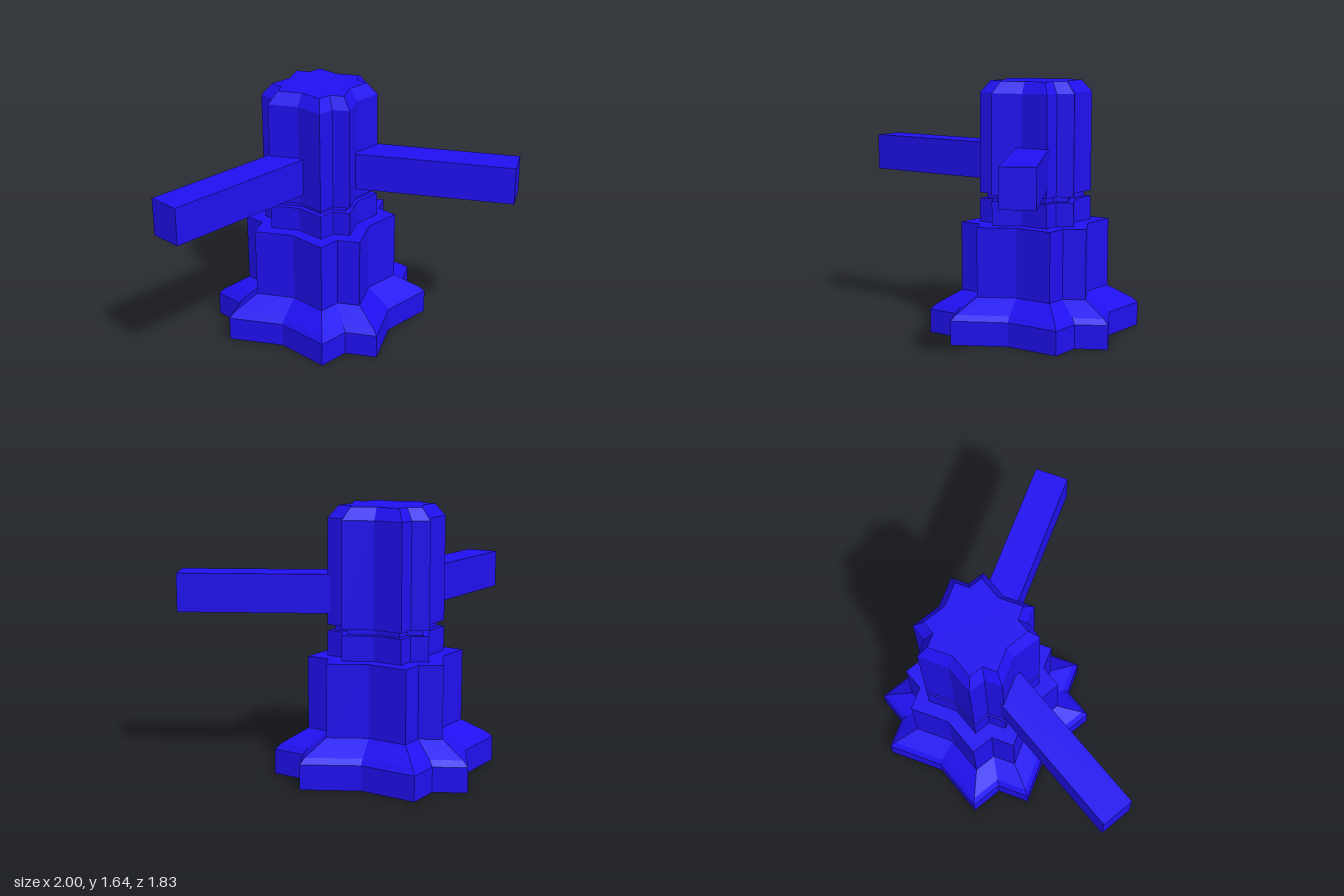
import * as THREE from 'three';

const material = new THREE.MeshStandardMaterial({ color: 0x2010f0, flatShading: true });
const rad = THREE.MathUtils.degToRad;

// Outline of two overlapping squares, one turned by 30 degrees (half = half side length)
function starRing(half, y) {
  const ring = [];
  for (let q = 0; q < 4; q++) {
    const corners = [
      [15, half * Math.SQRT2],
      [30, half / Math.cos(rad(30))],
      [45, half * Math.SQRT2],
      [75, half / Math.cos(rad(15))],
    ];
    for (const [deg, r] of corners) {
      const a = rad(deg + q * 90);
      ring.push([r * Math.cos(a), y, -r * Math.sin(a)]);
    }
  }
  return ring;
}

// Closed solid through star rings given as [half, y], from bottom to top
function starSolid(name, profile) {
  const rings = profile.map(([half, y]) => starRing(half, y));
  const pos = [];
  const tri = (a, b, c) => pos.push(...a, ...b, ...c);
  const n = rings[0].length;
  const last = rings.length - 1;
  const bottom = [0, profile[0][1], 0];
  const top = [0, profile[last][1], 0];
  for (let i = 0; i < n; i++) {
    const j = (i + 1) % n;
    for (let k = 0; k < last; k++) {
      const lo = rings[k], hi = rings[k + 1];
      tri(lo[i], lo[j], hi[j]);
      tri(lo[i], hi[j], hi[i]);
    }
    tri(bottom, rings[0][j], rings[0][i]);
    tri(top, rings[last][i], rings[last][j]);
  }
  const geo = new THREE.BufferGeometry();
  geo.setAttribute('position', new THREE.Float32BufferAttribute(pos, 3));
  geo.computeVertexNormals();
  const mesh = new THREE.Mesh(geo, material);
  mesh.name = name;
  return mesh;
}

// Square bar reaching out from inside the head
function arm(name, deg) {
  const inner = 0.15, outer = 1.275;
  const geo = new THREE.BoxGeometry(outer - inner, 0.24, 0.213);
  geo.translate((inner + outer) / 2, 1.11, 0);
  const mesh = new THREE.Mesh(geo, material);
  mesh.name = name;
  mesh.rotation.y = rad(deg);
  return mesh;
}

export function createModel() {
  const model = new THREE.Group();
  model.name = 'starPost';

  // Post is off-centre so that the whole model with its arms is centred
  const post = new THREE.Group();
  post.name = 'post';
  post.position.set(-0.275, 0, -0.243);
  model.add(post);

  // Foot, lower body, neck and groove in one stepped column
  post.add(starSolid('column', [
    [0.494, 0], [0.494, 0.155], [0.466, 0.19], [0.346, 0.28],
    [0.346, 0.73], [0.26, 0.73], [0.26, 0.885],
    [0.227, 0.885], [0.227, 0.92],
  ]));

  // Head with bevelled top
  post.add(starSolid('head', [
    [0.26, 0.92], [0.26, 1.57], [0.211, 1.645],
  ]));

  // Two arms, 120 degrees apart
  post.add(arm('leftArm', 0));
  post.add(arm('frontArm', 240));

  return model;
}
